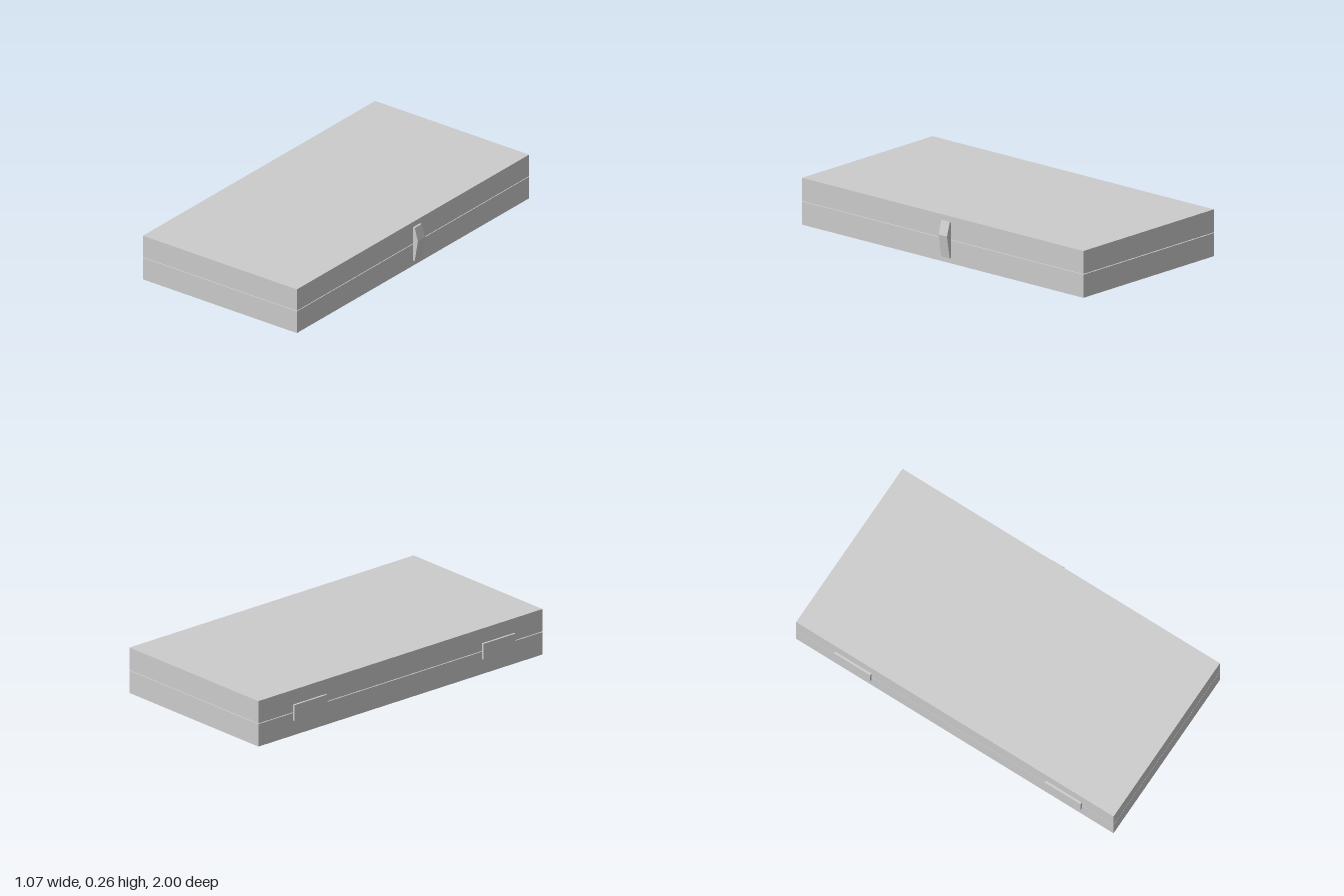
import * as THREE from 'three';

export function createModel() {
  const model = new THREE.Group();
  const material = new THREE.MeshStandardMaterial({ color: 0xcccccc, flatShading: true });

  // Box given by its minimum and maximum corners
  function addBox(name, min, max) {
    const size = max.map((v, i) => v - min[i]);
    const mesh = new THREE.Mesh(new THREE.BoxGeometry(...size), material);
    mesh.position.set(...max.map((v, i) => (v + min[i]) / 2));
    mesh.name = name;
    model.add(mesh);
  }

  // Two halves of the case with a fine seam between them
  addBox('lowerHalf', [-0.525, 0, -1], [0.503, 0.1275, 1]);
  addBox('upperHalf', [-0.525, 0.1315, -1], [0.503, 0.258, 1]);

  // Hinge plates bridging the seam
  addBox('rearHinge', [-0.537, 0.085, -0.755], [-0.525, 0.175, -0.525]);
  addBox('frontHinge', [-0.537, 0.085, 0.575], [-0.525, 0.175, 0.8]);

  // Pointed clasp, extruded along z
  const profile = [[0.503, 0.03], [0.515, 0.03], [0.536, 0.155], [0.515, 0.227], [0.503, 0.227]];
  const shape = new THREE.Shape(profile.map(([x, y]) => new THREE.Vector2(x, y)));
  const clasp = new THREE.Mesh(
    new THREE.ExtrudeGeometry(shape, { depth: 0.06, bevelEnabled: false }),
    material
  );
  clasp.position.z = -0.06;
  clasp.name = 'clasp';
  model.add(clasp);

  return model;
}
